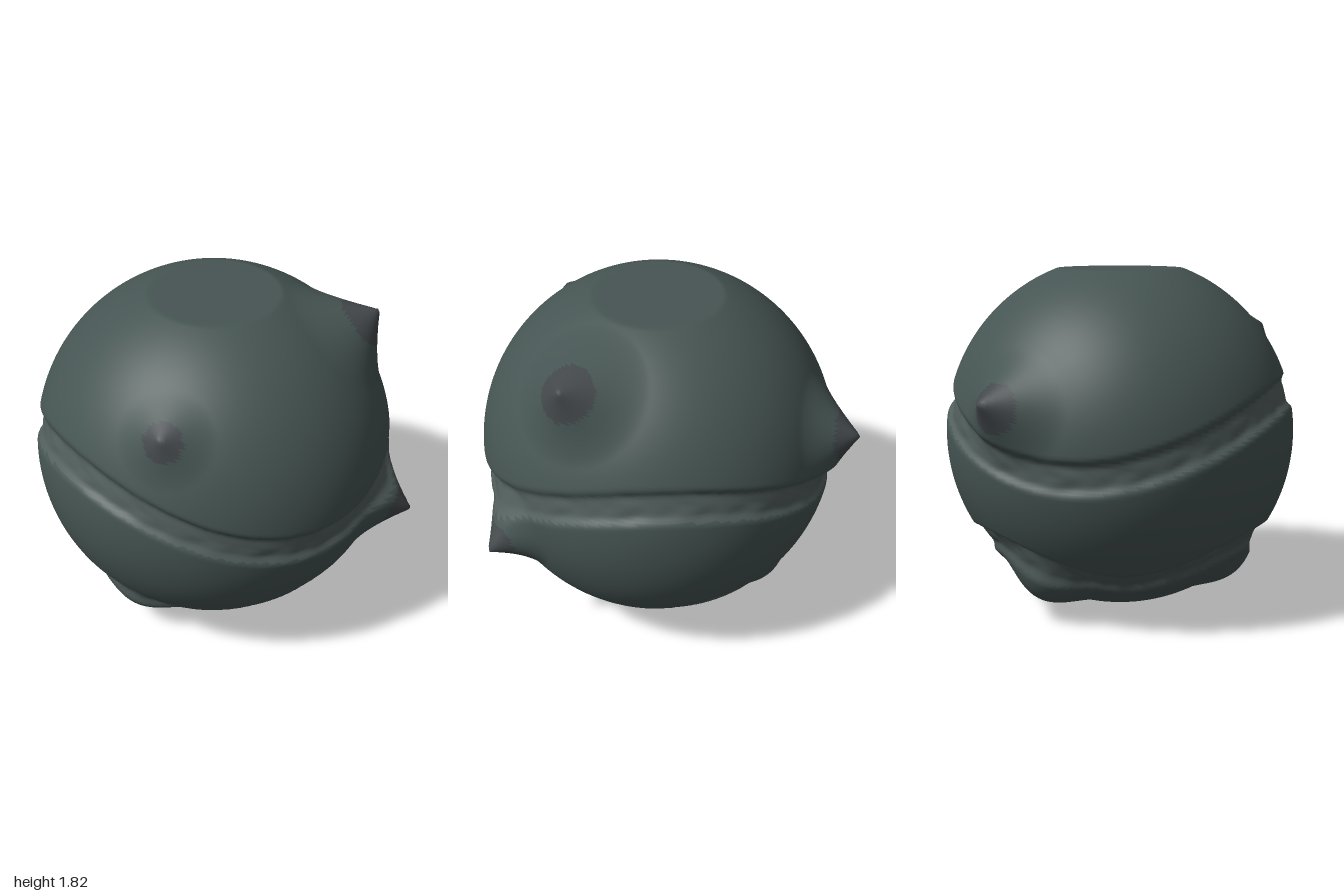
import * as THREE from 'three';
import { mergeVertices } from 'three/addons/utils/BufferGeometryUtils.js';

const R = 0.94, CENTRE = new THREE.Vector3(0, 0.94, 0.06), TOP = 0.878;
const rad = THREE.MathUtils.degToRad;

// Thorns and blunt bumps: tip relative to the centre, base radius, optional shift of the base
const HORNS = [
  { tip: [0.76, 0.76, 0.34], base: 0.36, foot: [-0.05, 0.02, 0] },
  { tip: [0.80, -0.25, 0.75], base: 0.27, foot: [-0.06, 0.03, 0] },
  { tip: [0.20, 0.27, -1.07], base: 0.32, foot: [-0.04, 0, 0] },
  { tip: [-0.58, 0.56, 0.62], base: 0.24, foot: [0, 0, 0] },
  { tip: [-0.59, -0.79, 0.24], base: 0.30, foot: [0, 0, 0], blunt: true },
  { tip: [0.13, -0.80, -0.64], base: 0.30, foot: [0, 0, 0], blunt: true },
].map(h => {
  const tip = new THREE.Vector3(...h.tip);
  const foot = new THREE.Vector3(...h.foot).add(tip).setLength(R);
  return { ...h, foot, pull: tip.clone().sub(foot) };
});

// Wavy grooves running round the ball: mean height, wave, lobes and phase
const BANDS = [
  { name: 'upperGroove', y: 0.08, wave: 0.165, lobes: 2, phase: rad(102), half: 0.10 },
  { name: 'lowerGroove', y: -0.605, wave: 0.085, lobes: 3, phase: rad(30), half: 0.10 },
];

// Distance from a band's middle line, 0 in the middle and 1 at its edge
function bandDistance(p, b) {
  const a = Math.atan2(p.x, p.z);
  const mid = b.y + b.wave * Math.cos(b.lobes * (a - b.phase));
  return Math.abs(Math.asin(THREE.MathUtils.clamp(p.y / R, -1, 1)) - Math.asin(mid / R)) * R / b.half;
}

// Moves a point of the plain ball and returns which part it belongs to
function sculpt(p) {
  const start = p.clone();
  let part = 'ball';
  for (const b of BANDS) {
    const d = bandDistance(start, b);
    if (d < 1) {
      const a = Math.atan2(start.x, start.z);
      const rough = 0.004 * Math.sin(a * 23 + d * 4) * Math.sin(a * 9);
      p.multiplyScalar(1 - (0.03 + rough) * (1 - THREE.MathUtils.smoothstep(d, 0.5, 1)));
      if (d < 0.75) part = b.name;
    }
  }
  for (const h of HORNS) {
    const d = start.distanceTo(h.foot) / h.base;
    if (d >= 1) continue;
    const f = h.blunt ? (1 - d * d) ** 2 : (1 - d) ** 1.7;
    p.addScaledVector(h.pull, f);
    if (d < 0.4 && !h.blunt) part = 'thorns';
  }
  // flat cap on top
  if (p.y > TOP && Math.hypot(p.x, p.z) < 0.4) p.y = TOP;
  return part;
}

export function createModel() {
  const group = new THREE.Group();
  group.name = 'thornyBall';

  let geo = new THREE.SphereGeometry(R, 288, 180);
  geo.deleteAttribute('uv');
  geo.deleteAttribute('normal');
  geo = mergeVertices(geo, 1e-5);

  const pos = geo.attributes.position, parts = [], p = new THREE.Vector3();
  for (let i = 0; i < pos.count; i++) {
    parts.push(sculpt(p.fromBufferAttribute(pos, i)));
    pos.setXYZ(i, p.x, p.y, p.z);
  }
  geo.translate(CENTRE.x, CENTRE.y, CENTRE.z);
  geo.computeVertexNormals();

  // Sort the faces by part; all parts share the smooth normals
  const faces = { ball: [], upperGroove: [], lowerGroove: [], thorns: [] };
  const index = geo.index.array;
  for (let i = 0; i < index.length; i += 3) {
    faces[parts[index[i]]].push(index[i], index[i + 1], index[i + 2]);
  }
  const colors = { ball: 0x465553, upperGroove: 0x525f5d, lowerGroove: 0x4c5957, thorns: 0x43484b };
  for (const name in faces) {
    const g = new THREE.BufferGeometry();
    g.setAttribute('position', geo.attributes.position);
    g.setAttribute('normal', geo.attributes.normal);
    g.setIndex(faces[name]);
    const mesh = new THREE.Mesh(g, new THREE.MeshStandardMaterial({ color: colors[name] }));
    mesh.name = name;
    group.add(mesh);
  }
  return group;
}
